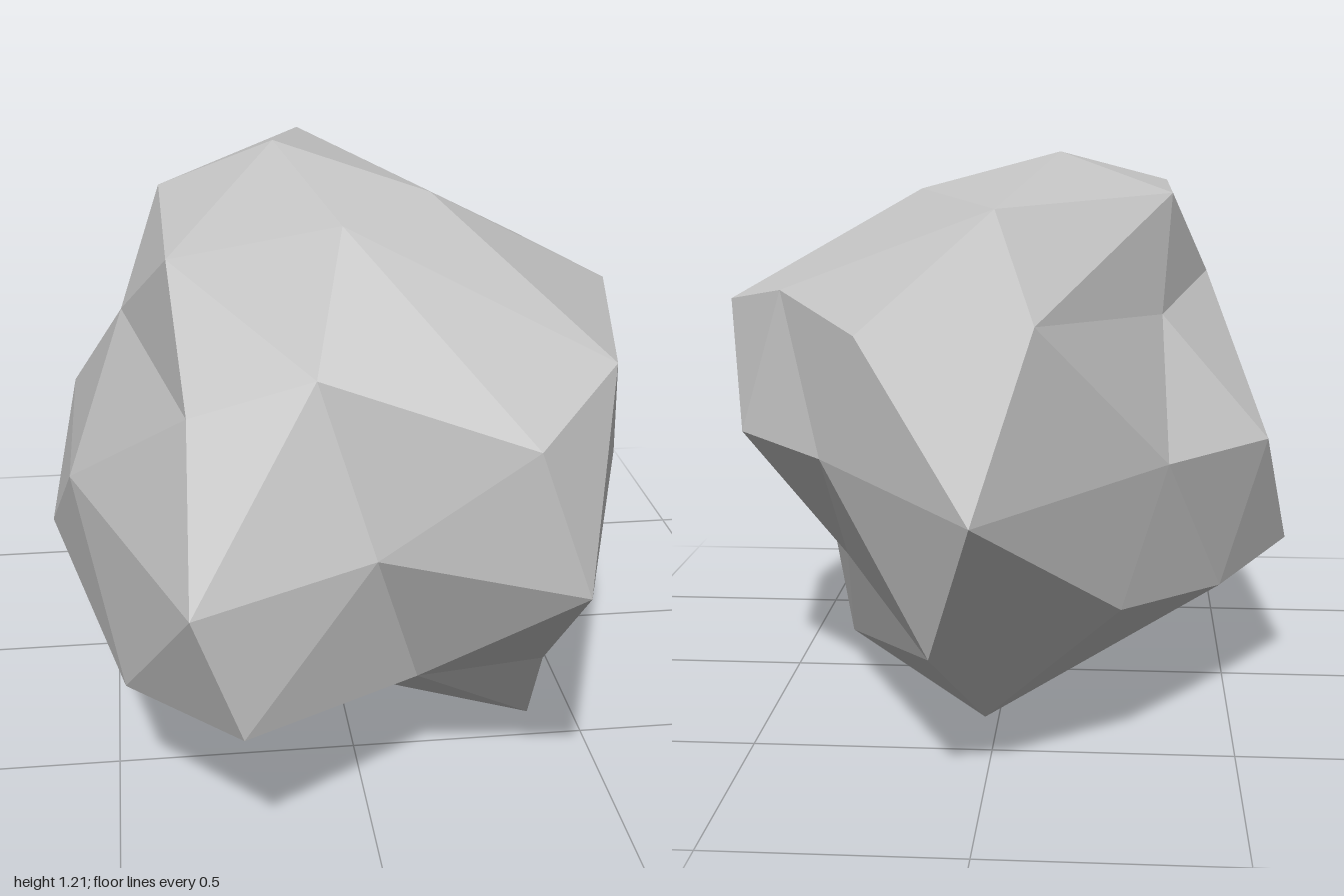
import * as THREE from 'three';

// Icosahedron standing on a pole, each face split in four
function polarIcosphere() {
  const h = 1 / Math.sqrt(5);
  const ring = (start, y) => Array.from({ length: 5 }, (_, k) => {
    const a = start + k * Math.PI * 2 / 5;
    return [2 * h * Math.cos(a), y, 2 * h * Math.sin(a)];
  });
  const points = [[0, 1, 0], ...ring(0, h), ...ring(Math.PI / 5, -h), [0, -1, 0]];
  const faces = [];
  for (let k = 0; k < 5; k++) {
    const n = (k + 1) % 5;
    const u = 1 + k, u2 = 1 + n, l = 6 + k, l2 = 6 + n;
    faces.push(0, u2, u, u, u2, l, l, u2, l2, 11, l, l2);
  }
  return new THREE.PolyhedronGeometry(points.flat(), faces, 1, 1);
}

export function createModel() {
  const stone = new THREE.MeshStandardMaterial({ color: 0xc8c8c8, flatShading: true });
  stone.name = 'stone grey';

  // Stretch the ball along z, then bend it with one wave along y and one along x
  const geometry = polarIcosphere();
  const pos = geometry.attributes.position;
  const radius = 0.605, wave = 5 / radius;
  for (let i = 0; i < pos.count; i++) {
    const y = pos.getY(i) * radius;
    const x = pos.getX(i) * radius + 0.2 * radius * Math.sin(wave * y);
    const z = pos.getZ(i) * 1.5 * radius + 0.089 - 0.3 * radius * Math.cos(wave * x);
    pos.setXYZ(i, x, y + radius, z);
  }
  geometry.computeVertexNormals();

  const rock = new THREE.Mesh(geometry, stone);
  rock.name = 'rock';
  const group = new THREE.Group();
  group.name = 'boulder';
  group.add(rock);
  return group;
}
